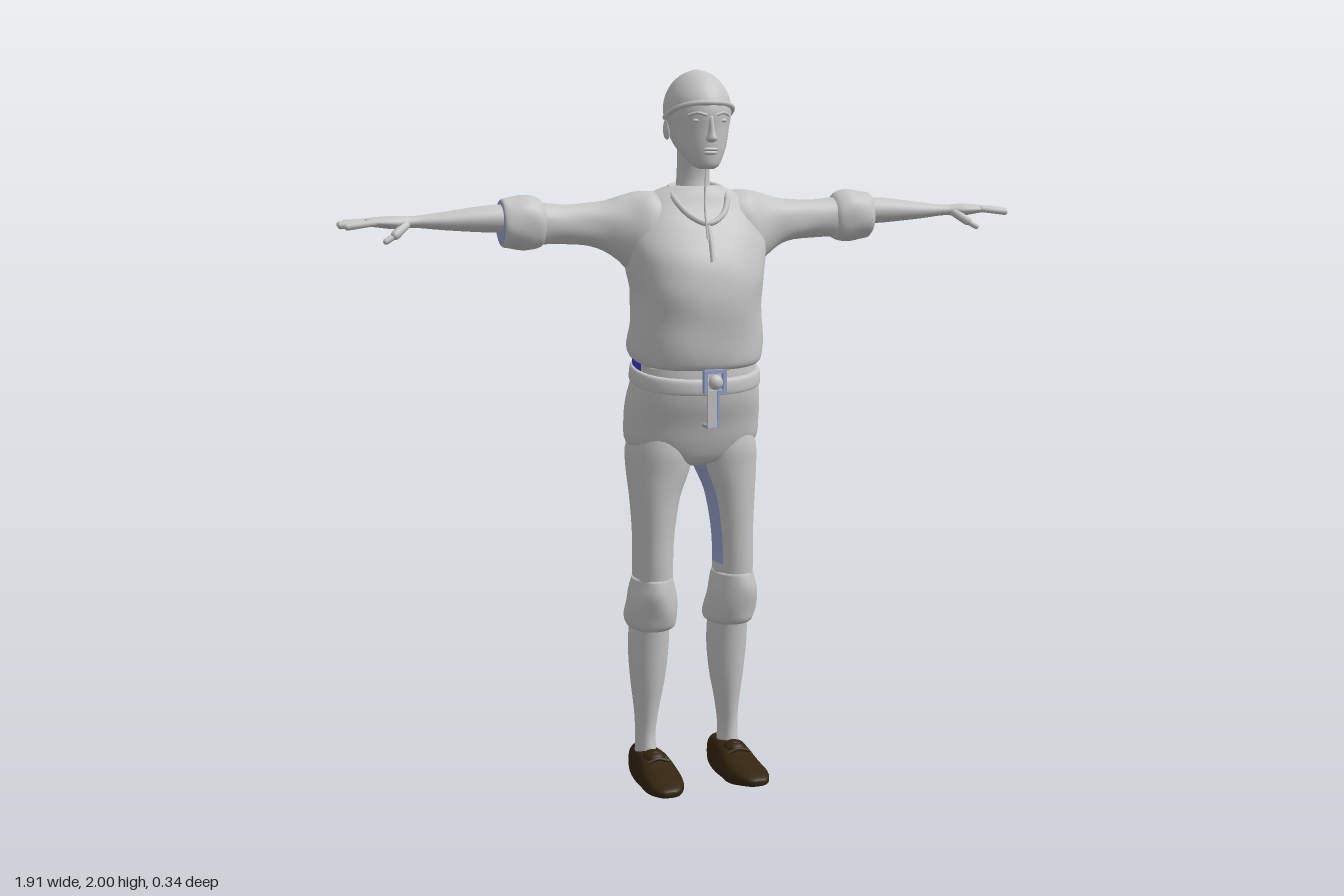
import * as THREE from 'three';

const mat = (name, color) => {
  const m = new THREE.MeshStandardMaterial({ color });
  m.name = name;
  return m;
};

// Smooth Catmull-Rom resampling of section rows.
function resample(rows, sub) {
  const out = [];
  const at = (i) => rows[Math.min(rows.length - 1, Math.max(0, i))];
  for (let i = 0; i < rows.length - 1; i++) {
    for (let j = 0; j < sub; j++) {
      const u = j / sub;
      out.push(rows[i].map((_, k) => {
        const p0 = at(i - 1)[k], p1 = at(i)[k], p2 = at(i + 1)[k], p3 = at(i + 2)[k];
        return 0.5 * (2 * p1 + (p2 - p0) * u + (2 * p0 - 5 * p1 + 4 * p2 - p3) * u * u
          + (3 * p1 - p0 - 3 * p2 + p3) * u * u * u);
      }));
    }
  }
  out.push(rows[rows.length - 1]);
  return out;
}

// Closed body through sections [t, aMin, aMax, bMin, bMax] along an axis.
// Section axes: y -> (x,z), x -> (y,z), z -> (x,y).
function loft(axis, rows, { seg = 32, sub = 4, pow = 1, fold = 0, warp, pick } = {}) {
  const rings = resample(rows, sub), pos = [], lists = [[], []];
  const put = (t, a, b) => {
    const p = axis === 'y' ? [a, t, b] : axis === 'x' ? [t, a, b] : [a, b, t];
    if (warp) warp(p);
    pos.push(...p);
  };
  const bend = (v) => Math.sign(v) * Math.abs(v) ** pow;
  for (const [t, a0, a1, b0, b1] of rings) {
    for (let i = 0; i < seg; i++) {
      const g = (i / seg) * Math.PI * 2;
      const f = 1 + fold * (Math.sin(5 * g + t * 33) + Math.sin(3 * g - t * 57));
      put(t, (a0 + a1) / 2 + (a1 - a0) / 2 * bend(Math.cos(g)) * f,
        (b0 + b1) / 2 + (b1 - b0) / 2 * bend(Math.sin(g)) * f);
    }
  }
  for (const r of [rings[0], rings[rings.length - 1]]) put(r[0], (r[1] + r[2]) / 2, (r[3] + r[4]) / 2);
  const tri = (k, a, b, c) => (axis === 'y' ? lists[k].push(a, b, c) : lists[k].push(a, c, b));
  const n = rings.length, c0 = n * seg, c1 = c0 + 1;
  const kind = (i, t) => (pick && pick(((i + 0.5) / seg) * Math.PI * 2, t) ? 1 : 0);
  for (let i = 0; i < seg; i++) {
    const j = (i + 1) % seg, e = (n - 1) * seg;
    tri(kind(i, rings[0][0]), c0, i, j);
    for (let r = 0; r < n - 1; r++) {
      const k = kind(i, (rings[r][0] + rings[r + 1][0]) / 2), o = r * seg;
      tri(k, o + i, o + seg + i, o + j);
      tri(k, o + j, o + seg + i, o + seg + j);
    }
    tri(kind(i, rings[n - 1][0]), c1, e + j, e + i);
  }
  const g = new THREE.BufferGeometry();
  g.setAttribute('position', new THREE.Float32BufferAttribute(pos, 3));
  g.setIndex([...lists[0], ...lists[1]]);
  if (pick) {
    g.addGroup(0, lists[0].length, 0);
    g.addGroup(lists[0].length, lists[1].length, 1);
  }
  g.computeVertexNormals();
  return g;
}

// Opposite-side copy of a geometry across x = 0, keeping faces outward.
function mirror(src) {
  const g = src.clone().scale(-1, 1, 1), a = g.index.array;
  for (let i = 0; i < a.length; i += 3) [a[i + 1], a[i + 2]] = [a[i + 2], a[i + 1]];
  g.computeVertexNormals();
  return g;
}

const V = (p) => new THREE.Vector3(...p);
const tube = (pts, r, n = 24) => new THREE.TubeGeometry(new THREE.CatmullRomCurve3(pts.map(V)), n, r, 8);
const ball = (p, s) => new THREE.SphereGeometry(1, 20, 14).scale(...s).translate(...p);
const box = (p, s) => new THREE.BoxGeometry(...s).translate(...p);
function finger(a, b, r) {
  const d = V(b).sub(V(a)), g = new THREE.CapsuleGeometry(r, d.length(), 4, 10);
  g.applyQuaternion(new THREE.Quaternion().setFromUnitVectors(V([0, 1, 0]), d.clone().normalize()));
  return g.translate(...V(a).addScaledVector(d, 0.5).toArray());
}

export function createModel() {
  const root = new THREE.Group();
  root.name = 'figure';
  const grey = mat('light grey', 0xc6c6c6);
  const brown = mat('dark brown', 0x34250f);
  const blue = mat('blue', 0x3a36d6);
  const pale = mat('pale blue', 0x98a5cf);
  const add = (name, g, m = grey) => {
    const mesh = new THREE.Mesh(g, m);
    mesh.name = name;
    root.add(mesh);
  };
  const pair = (name, g, m) => {
    add('left' + name, g, m);
    add('right' + name, mirror(g), m);
  };

  // Head and neck
  add('head', loft('y', [
    [1.742, -0.018, 0.018, 0.07, 0.098], [1.752, -0.036, 0.036, 0.035, 0.11], [1.78, -0.055, 0.055, -0.015, 0.115],
    [1.81, -0.07, 0.07, -0.06, 0.117], [1.85, -0.08, 0.08, -0.09, 0.118], [1.89, -0.088, 0.088, -0.1, 0.12],
    [1.93, -0.083, 0.083, -0.093, 0.109], [1.965, -0.064, 0.064, -0.07, 0.083],
    [1.988, -0.038, 0.038, -0.036, 0.053], [2, -0.006, 0.006, 0, 0.014]]));
  add('neck', loft('y', [
    [1.58, -0.07, 0.07, -0.08, 0.06], [1.66, -0.052, 0.052, -0.07, 0.03],
    [1.72, -0.045, 0.045, -0.063, 0.018], [1.82, -0.045, 0.045, -0.06, 0.04]],
  { pick: (a, t) => t < 1.77 && Math.sin(a) < -0.8 }), [grey, pale]);

  // Face
  add('nose', loft('y', [
    [1.812, -0.006, 0.006, 0.1, 0.12], [1.82, -0.015, 0.015, 0.1, 0.138],
    [1.84, -0.009, 0.009, 0.1, 0.132], [1.88, -0.007, 0.007, 0.1, 0.121]], { seg: 14 }));
  add('upperLip', ball([0, 1.794, 0.115], [0.023, 0.005, 0.008]));
  add('lowerLip', ball([0, 1.785, 0.113], [0.02, 0.006, 0.008]));
  pair('Eye', ball([0.034, 1.868, 0.104], [0.014, 0.006, 0.008]));
  pair('Brow', tube([[0.013, 1.882, 0.119], [0.035, 1.888, 0.113], [0.056, 1.882, 0.096]], 0.004, 10));
  pair('Ear', ball([0.08, 1.845, -0.005], [0.009, 0.028, 0.018]));
  add('capEdge', tube([[-0.088, 1.875, 0], [-0.078, 1.9, 0.068], [-0.045, 1.912, 0.104], [0, 1.914, 0.117],
    [0.045, 1.912, 0.104], [0.078, 1.9, 0.068], [0.088, 1.875, 0]], 0.007));

  // Loose shirt, its hem dipping toward the front
  const dip = (p) => { p[1] -= 0.13 * p[2] * Math.min(1, Math.max(0, (1.4 - p[1]) / 0.12)); };
  add('shirt', loft('y', [
    [1.225, -0.16, 0.16, -0.125, 0.115], [1.235, -0.178, 0.178, -0.15, 0.135], [1.27, -0.185, 0.185, -0.157, 0.143],
    [1.34, -0.177, 0.177, -0.155, 0.15], [1.42, -0.178, 0.178, -0.153, 0.155], [1.5, -0.192, 0.192, -0.153, 0.135],
    [1.57, -0.195, 0.195, -0.143, 0.098], [1.63, -0.178, 0.178, -0.118, 0.06], [1.67, -0.13, 0.13, -0.093, 0.042],
    [1.695, -0.07, 0.07, -0.075, 0.03]], { seg: 48, pow: 0.85, fold: 0.006, warp: dip }));
  add('collar', tube([[-0.068, 1.692, -0.02], [-0.075, 1.665, 0.035], [-0.045, 1.62, 0.082], [0, 1.6, 0.097],
    [0.045, 1.62, 0.082], [0.075, 1.665, 0.035], [0.068, 1.692, -0.02], [0, 1.7, -0.075], [-0.068, 1.692, -0.02]], 0.008, 48));
  add('neckCord', tube([[0, 1.745, 0.08], [-0.01, 1.65, 0.097], [-0.012, 1.56, 0.125]], 0.003));
  add('frontSlit', tube([[0, 1.6, 0.094], [0, 1.55, 0.118], [-0.002, 1.5, 0.138]], 0.007));

  // Sleeves with rolled cuffs
  pair('Sleeve', loft('x', [
    [0.08, 1.45, 1.675, -0.11, 0.05], [0.14, 1.43, 1.685, -0.125, 0.06], [0.2, 1.49, 1.67, -0.11, 0.035],
    [0.26, 1.53, 1.655, -0.1, 0.015], [0.34, 1.545, 1.65, -0.092, 0.005], [0.43, 1.545, 1.655, -0.09, 0.008]],
  { pow: 0.9, fold: 0.012 }));
  pair('Cuff', loft('x', [
    [0.41, 1.56, 1.645, -0.08, 0], [0.425, 1.538, 1.665, -0.1, 0.015], [0.46, 1.532, 1.677, -0.106, 0.02],
    [0.505, 1.538, 1.67, -0.102, 0.018], [0.527, 1.545, 1.664, -0.095, 0.01], [0.529, 1.58, 1.64, -0.07, -0.01]],
  { fold: 0.018, pick: (a, t) => t > 0.5272 }), [grey, pale]);

  // Forearms and hands
  pair('Forearm', loft('x', [
    [0.48, 1.578, 1.655, -0.08, 0], [0.58, 1.582, 1.65, -0.078, 0.002], [0.68, 1.59, 1.637, -0.068, -0.004],
    [0.76, 1.598, 1.628, -0.058, -0.012], [0.81, 1.596, 1.63, -0.066, 0.004], [0.86, 1.602, 1.627, -0.07, 0.006],
    [0.885, 1.606, 1.622, -0.066, 0.003]], { seg: 24 }));
  [[0.93, -0.064, -0.068], [0.946, -0.043, -0.046], [0.948, -0.021, -0.021], [0.935, -0.001, 0.006]].forEach(([x, z0, z1], i) =>
    pair('Finger' + (i + 1), finger([0.865, 1.615, z0], [x, 1.612 - i * 0.002, z1], 0.0085)));
  pair('ThumbBase', finger([0.785, 1.606, -0.012], [0.815, 1.583, 0.008], 0.012));
  pair('Thumb', finger([0.81, 1.585, 0.006], [0.84, 1.568, 0.014], 0.008));

  // Trousers: hips, legs, rolled knee cuffs
  add('trouserHips', loft('y', [
    [0.935, -0.03, 0.03, -0.08, 0.02], [0.955, -0.13, 0.13, -0.13, 0.055], [1, -0.184, 0.184, -0.158, 0.075],
    [1.06, -0.19, 0.19, -0.168, 0.092], [1.12, -0.186, 0.186, -0.165, 0.112], [1.18, -0.174, 0.174, -0.145, 0.12],
    [1.22, -0.165, 0.165, -0.13, 0.118]], { seg: 40, pow: 0.9 }));
  pair('TrouserLeg', loft('y', [
    [0.52, 0.062, 0.172, -0.105, 0.04], [0.65, 0.065, 0.172, -0.1, 0.05], [0.75, 0.06, 0.172, -0.103, 0.052],
    [0.85, 0.042, 0.178, -0.116, 0.056], [0.92, 0.014, 0.184, -0.137, 0.061], [0.98, 0.004, 0.184, -0.15, 0.066],
    [1.03, 0.02, 0.17, -0.13, 0.06]],
  { pow: 0.95, pick: (a, t) => t > 0.64 && t < 0.94 && Math.cos(a) < -0.86 }), [grey, pale]);
  pair('KneeCuff', loft('y', [
    [0.472, 0.06, 0.17, -0.115, 0.015], [0.482, 0.047, 0.183, -0.13, 0.03], [0.51, 0.044, 0.19, -0.132, 0.04],
    [0.55, 0.05, 0.188, -0.122, 0.052], [0.585, 0.056, 0.184, -0.112, 0.055], [0.625, 0.064, 0.173, -0.1, 0.049]],
  { fold: 0.015 }));

  // Lower legs and shoes
  pair('LowerLeg', loft('y', [
    [0.08, 0.094, 0.154, -0.125, -0.025], [0.15, 0.097, 0.152, -0.118, -0.037], [0.22, 0.089, 0.155, -0.122, -0.031],
    [0.32, 0.07, 0.167, -0.132, -0.015], [0.42, 0.061, 0.174, -0.133, -0.003], [0.52, 0.065, 0.17, -0.12, 0.01]]));
  pair('Shoe', loft('z', [
    [-0.155, 0.105, 0.138, 0.025, 0.08], [-0.14, 0.085, 0.155, 0.004, 0.105], [-0.08, 0.075, 0.165, 0, 0.112],
    [-0.02, 0.07, 0.17, 0.006, 0.114], [0.05, 0.065, 0.176, 0.015, 0.092], [0.11, 0.075, 0.176, 0.03, 0.08],
    [0.15, 0.096, 0.162, 0.04, 0.068], [0.162, 0.118, 0.145, 0.047, 0.06]], { pow: 0.75 }), brown);
  pair('ShoeTongue', ball([0.121, 0.103, -0.012], [0.032, 0.02, 0.035]), brown);
  for (const z of [0, 0.025]) pair('ShoeLace', tube([[0.09, 0.1, z], [0.121, 0.119 - z * 0.4, z], [0.152, 0.1, z]], 0.005, 8), brown);

  // Waist: blue band under the shirt hem, belt, buckle and hanging strap
  const slope = (p) => { p[1] -= 0.16 * p[2]; };
  add('waistBand', loft('y', [[1.195, -0.17, 0.17, -0.146, 0.115], [1.25, -0.17, 0.17, -0.142, 0.115]],
    { seg: 48, pow: 0.9, warp: slope, pick: (a) => Math.sin(a) < 0.3 }), [grey, blue]);
  add('belt', loft('y', [
    [1.165, -0.174, 0.174, -0.148, 0.122], [1.17, -0.181, 0.181, -0.155, 0.134], [1.203, -0.178, 0.178, -0.152, 0.134],
    [1.208, -0.17, 0.17, -0.145, 0.122]], { seg: 48, pow: 0.9, warp: slope }));
  for (const s of [-1, 1]) {
    add('buckleSide', box([s * 0.027, 1.185, 0.146], [0.01, 0.06, 0.016]), pale);
    add('buckleBar', box([0, 1.185 + s * 0.027, 0.146], [0.06, 0.01, 0.016]), pale);
  }
  add('beltKnot', ball([0.002, 1.183, 0.148], [0.02, 0.02, 0.016]));
  add('hangingStrap', box([-0.014, 1.115, 0.162], [0.026, 0.1, 0.008]));
  add('strapEnd', box([-0.014, 1.066, 0.145], [0.026, 0.008, 0.04]), pale);
  add('strapEdge', box([0.002, 1.115, 0.163], [0.006, 0.1, 0.01]), pale);
  return root;
}
